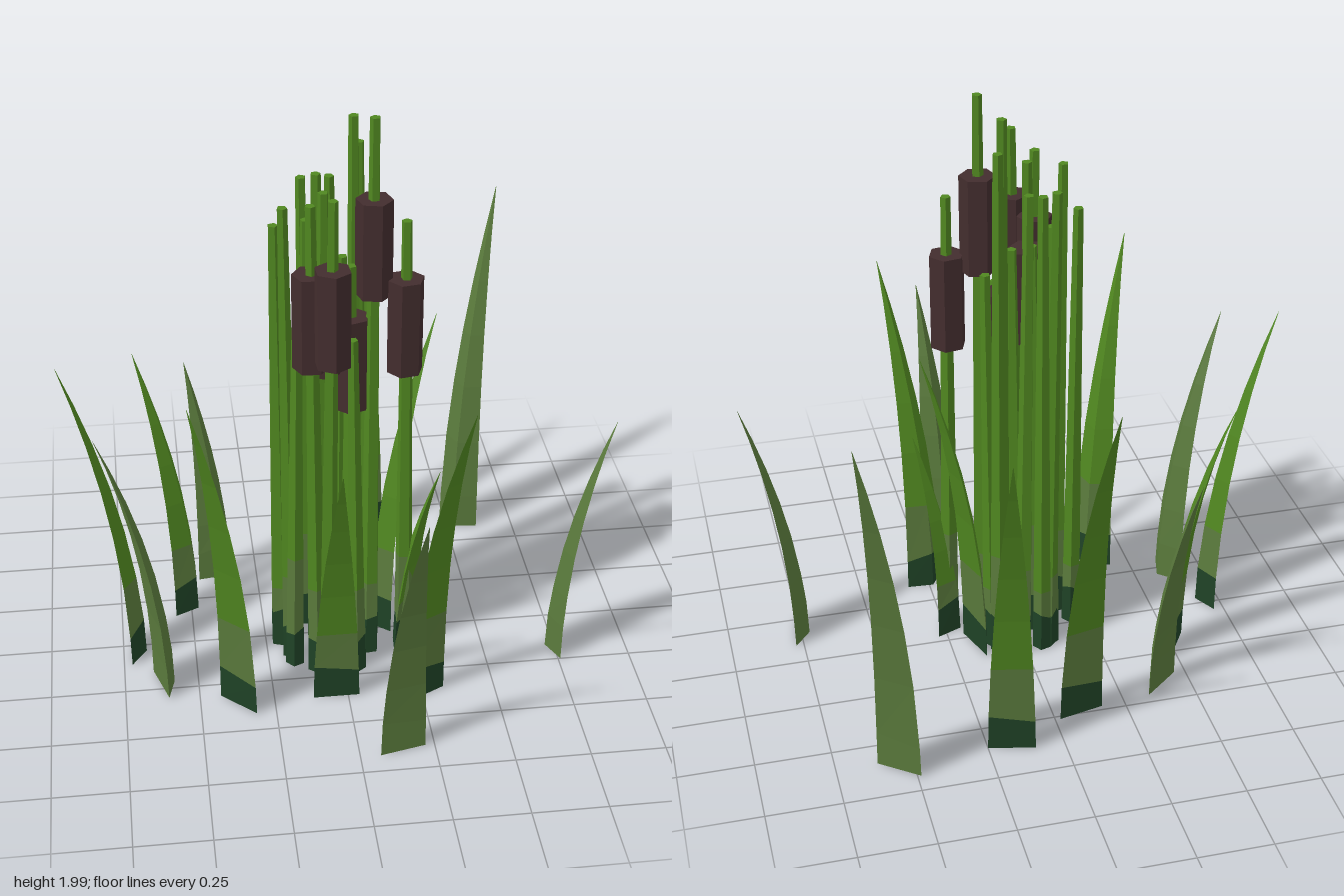
import * as THREE from 'three';

const material = (name, color) => {
  const m = new THREE.MeshStandardMaterial({ color });
  m.name = name;
  return m;
};

// Flat-faced loft through rings of points (counter-clockwise from above).
// bands[k] is the material index of the strip between ring k and ring k + 1.
function loft(rings, bands) {
  const pos = [];
  const geo = new THREE.BufferGeometry();
  const n = rings[0].length;
  const tri = (...pts) => pts.forEach((p) => pos.push(p.x, p.y, p.z));
  const group = (index, fill) => {
    const start = pos.length / 3;
    fill();
    geo.addGroup(start, pos.length / 3 - start, index);
  };
  for (let k = 0; k < rings.length - 1; k++) {
    group(bands[k], () => {
      for (let i = 0; i < n; i++) {
        const j = (i + 1) % n;
        tri(rings[k][i], rings[k][j], rings[k + 1][j]);
        tri(rings[k][i], rings[k + 1][j], rings[k + 1][i]);
      }
    });
  }
  const top = rings[rings.length - 1];
  const cap = (r, index, flip) => group(index, () => {
    for (let i = 1; i < n - 1; i++) flip ? tri(r[0], r[i + 1], r[i]) : tri(r[0], r[i], r[i + 1]);
  });
  cap(rings[0], bands[0], true);
  cap(top, bands[bands.length - 1], false);
  geo.setAttribute('position', new THREE.Float32BufferAttribute(pos, 3));
  geo.computeVertexNormals();
  return geo;
}

const FLOOR = 0.01;

// Three-sided leaf curving outward from its base to a pointed tip
function bladeGeometry([bx, bz, tx, tz, h], plain) {
  const d = new THREE.Vector3(tx - bx, 0, tz - bz);
  const lean = d.length();
  d.normalize();
  const s = new THREE.Vector3(d.z, 0, -d.x);
  const levels = [FLOOR, 0.13, 0.28 * h, 0.45 * h, 0.6 * h, 0.75 * h, 0.88 * h, h];
  const rings = levels.map((y, k) => {
    const t = y / h;
    const size = Math.max(1 - t ** 1.6, 0.01);
    const at = (along, side, dy) => new THREE.Vector3(bx, y + (k === 1 ? dy : 0), bz)
      .addScaledVector(d, lean * t * t + along * size)
      .addScaledVector(s, side * size);
    return [at(0.018, 0.078, -0.012), at(-0.03, 0, 0.015), at(0.018, -0.078, 0.01)];
  });
  return loft(rings, plain ? Array(7).fill(1) : [0, 1, 2, 2, 2, 2, 2]);
}

// Tapered five-sided stalk, its foot slightly offset from its top
function stemGeometry(x, z, h, i) {
  const mid = 0.25 + 0.05 * ((i * 7) % 5);
  const foot = new THREE.Vector2(x + 0.02 * Math.sin(i * 2.4), z + 0.02 * Math.cos(i * 2.4));
  const rings = [FLOOR, 0.15, mid, h * 0.6, h].map((y, k) => {
    const t = y / h;
    const r = 0.033 - 0.016 * t;
    return Array.from({ length: 5 }, (_, c) => {
      const a = (c / 5) * Math.PI * 2 + i;
      const dy = k === 1 ? 0.015 * Math.sin(c * 2 + i) : 0;
      return new THREE.Vector3(
        foot.x + (x - foot.x) * t + r * Math.cos(a), y + dy,
        foot.y + (z - foot.y) * t - r * Math.sin(a));
    });
  });
  return loft(rings, [0, 1, 2, 2]);
}

export function createModel() {
  const root = new THREE.Group();
  root.name = 'reedClump';
  const greens = [
    material('dark base green', 0x1f4226),
    material('grey green', 0x5a7a3c),
    material('leaf green', 0x508720),
  ];
  const brown = material('seed head brown', 0x432d2e);

  const add = (parent, name, geo, mat) => {
    const mesh = new THREE.Mesh(geo, mat);
    mesh.name = name;
    parent.add(mesh);
    return mesh;
  };

  // Leaves: base x, base z, tip x, tip z, height
  const leaves = new THREE.Group();
  leaves.name = 'leaves';
  root.add(leaves);
  [
    [-0.09, -0.48, -0.14, -0.71, 1.27],
    [0.17, -0.6, 0.22, -0.83, 1.22],
    [-0.5, -0.21, -0.66, -0.31, 1.01],
    [-0.7, 0.03, -0.91, 0.02, 1.16],
    [-0.36, 0.35, -0.51, 0.51, 1.27],
    [-0.04, 0.34, -0.04, 0.53, 1.0],
    [0.25, 0.37, 0.36, 0.58, 1.23],
    [0.15, -0.04, 0.35, -0.11, 1.21],
    [0.22, 0.08, 0.33, 0.16, 0.76],
  ].forEach((b) => add(leaves, 'leaf', bladeGeometry(b, false), greens));

  // Paler leaves without the dark foot
  [
    [0.54, -0.62, 0.68, -0.81, 1.33],
    [-0.39, -0.4, -0.48, -0.51, 0.85],
    [-0.61, 0.22, -0.8, 0.28, 1.04],
    [0.14, 0.64, 0.18, 0.82, 1.0],
    [0.75, 0.17, 0.91, 0.19, 0.93],
  ].forEach((b) => add(leaves, 'paleLeaf', bladeGeometry(b, true), greens));

  // Bare stems: x, z, height
  const stems = new THREE.Group();
  stems.name = 'stems';
  root.add(stems);
  const bare = [
    [-0.2, 0.01, 1.62], [-0.18, 0.12, 1.73], [-0.14, 0.15, 1.4],
    [-0.1, -0.1, 1.73], [-0.09, -0.06, 1.6], [-0.05, -0.12, 1.73],
    [-0.01, -0.1, 1.73], [-0.05, 0.02, 1.5], [0.06, -0.03, 1.96],
    [0.08, -0.06, 1.86], [0.12, -0.05, 1.45], [0.03, 0.2, 1.3],
    [0.02, 0.01, 1.5],
  ];
  // Stems that carry a seed head 0.33 tall, ending 0.2 to 0.27 below the tip
  const flowering = [
    [0.11, 0.09, 2.0, 1.73], [0.21, 0.11, 1.66, 1.46], [-0.04, 0.26, 1.81, 1.58],
    [-0.1, 0.18, 1.76, 1.53], [0.04, 0.08, 1.5, 1.32], [-0.05, 0.09, 1.76, 1.46],
  ];
  [...bare, ...flowering].forEach(([x, z, h], i) =>
    add(stems, 'stem', stemGeometry(x, z, h, i), greens));

  // Six-sided seed heads
  const headGeo = new THREE.CylinderGeometry(0.06, 0.06, 0.33, 6).toNonIndexed();
  headGeo.computeVertexNormals();
  flowering.forEach(([x, z, , top], i) => {
    const head = add(stems, 'seedHead', headGeo, brown);
    head.position.set(x, top - 0.165, z);
    head.rotation.y = 0.3 + i * 0.4;
  });

  return root;
}
